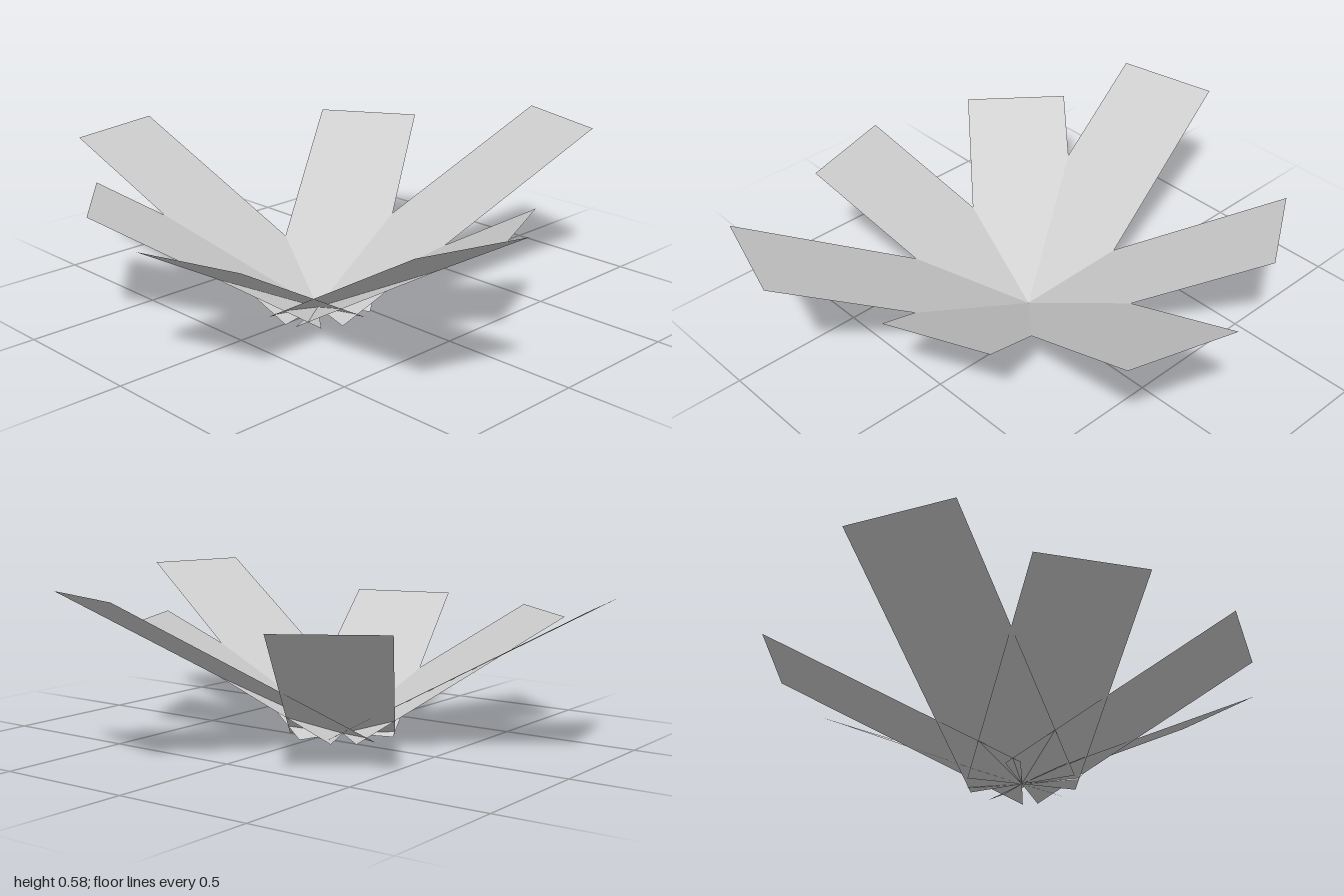
import * as THREE from 'three';

export function createModel() {
  const model = new THREE.Group();
  const grey = new THREE.MeshStandardMaterial({ color: 0xcccccc, side: THREE.DoubleSide });
  grey.name = 'light grey';

  const width = 0.386;
  const slope = Math.atan(0.554); // every leaf rises at the same angle

  // Horizontal offset [x, z] of each leaf tip from the shared root
  const tips = [
    [0.295, -1.0],
    [0.675, -0.293],
    [0.97, 0.3],
    [0.235, 0.758],
    [-0.495, 0.6],
    [-0.9325, 0.185],
    [-0.4875, -0.75],
  ];

  // Flat leaves fanning out of one root point
  const leaves = new THREE.Group();
  leaves.name = 'leaves';
  leaves.position.set(-0.03, 0, 0.115);
  tips.forEach(([x, z], i) => {
    const length = Math.hypot(x, z) / Math.cos(slope);
    const geometry = new THREE.PlaneGeometry(width, length);
    geometry.translate(0, length / 2, 0);
    geometry.rotateX(slope - Math.PI / 2);
    const leaf = new THREE.Mesh(geometry, grey);
    leaf.name = `leaf${i + 1}`;
    leaf.rotation.y = Math.atan2(-x, -z);
    leaves.add(leaf);
  });
  model.add(leaves);
  return model;
}
